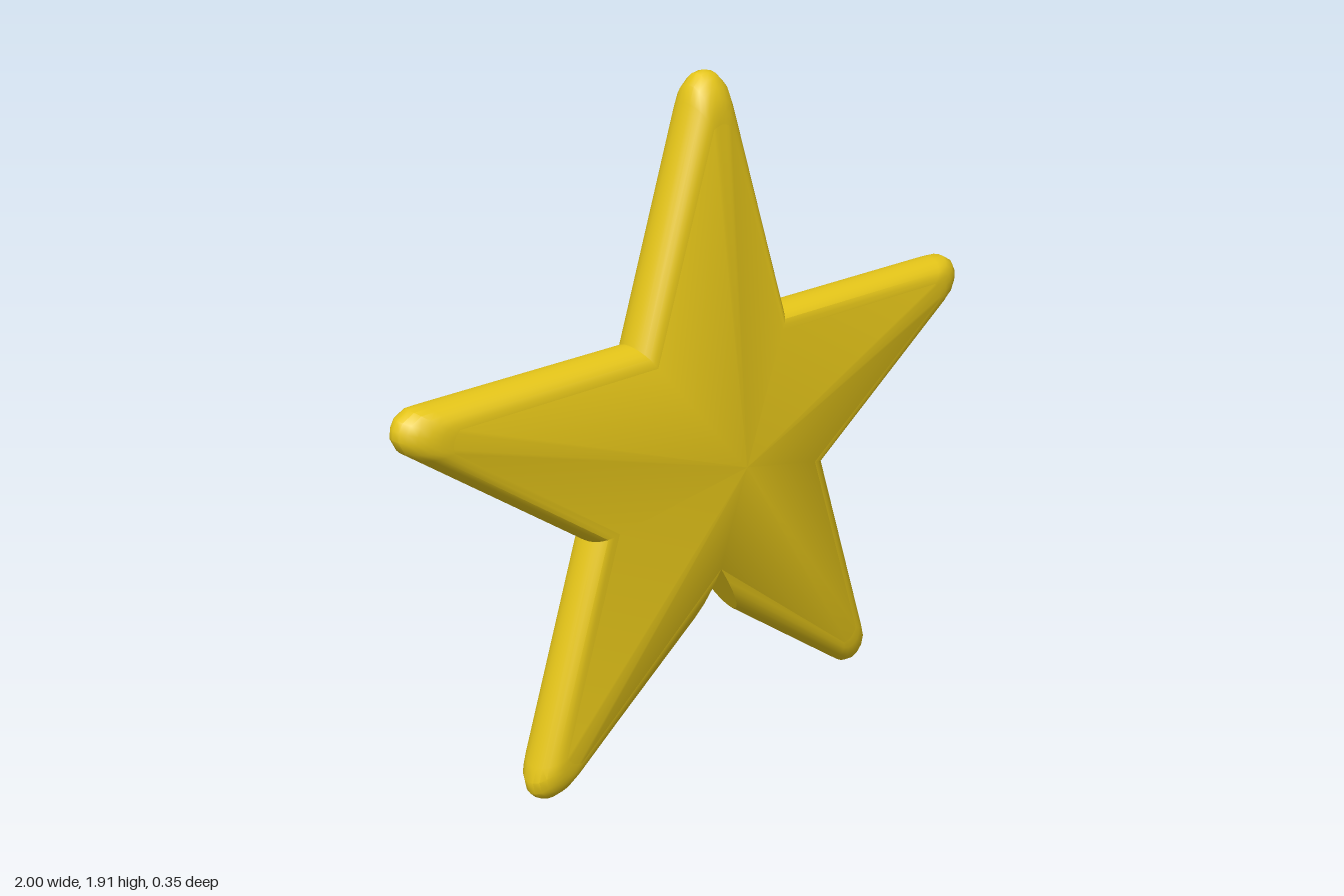
import * as THREE from 'three';
import { toCreasedNormals } from 'three/addons/utils/BufferGeometryUtils.js';

const CENTRE_Y = 0.855, RIM_Z = 0.073, APEX_Z = 0.175, ROWS = 12;

// Half of an arm tip: [sideways, radial] on the silhouette and on the inner crease
const TIP = [
  { outer: [0.067, 0.975], inner: [0.03, 0.91] },
  { outer: [0.053, 1.018], inner: [0.02, 0.915] },
  { outer: [0.025, 1.045], inner: [0.01, 0.918] },
  { outer: [0, 1.05], inner: [0, 0.92] },
];

// Counter-clockwise outline; each entry pairs a silhouette point with a crease point
function starOutline() {
  const points = [];
  const place = (angle, [side, radial]) => [
    radial * Math.cos(angle) + side * Math.sin(angle),
    radial * Math.sin(angle) - side * Math.cos(angle),
  ];
  const flip = ([side, radial]) => [-side, radial];
  for (let arm = 0; arm < 5; arm++) {
    const a = Math.PI / 2 + arm * Math.PI * 0.4;
    for (const p of TIP) points.push({ outer: place(a, p.outer), inner: place(a, p.inner) });
    for (const p of TIP.slice(0, -1).reverse())
      points.push({ outer: place(a, flip(p.outer)), inner: place(a, flip(p.inner)) });
    if (arm === 2) {
      // The bottom valley is cut open into a notch
      for (const s of [-1, 1]) points.push({ outer: [s * 0.11, -0.525], inner: [0, -0.34], notch: s });
    } else {
      const v = a + Math.PI / 5;
      points.push({ outer: place(v, [0, 0.451]), inner: place(v, [0, 0.384]) });
    }
  }
  return points;
}

function build(positions, indices, crease) {
  const g = new THREE.BufferGeometry();
  g.setAttribute('position', new THREE.Float32BufferAttribute(positions, 3));
  g.setIndex(indices);
  return toCreasedNormals(g, crease);
}

// Rounded band running round the star from the back crease to the front crease
function rimGeometry(outline) {
  const positions = [], indices = [], n = outline.length;
  for (let j = 0; j <= ROWS; j++) {
    const t = (j / ROWS - 0.5) * Math.PI;
    for (const { outer, inner } of outline) {
      const s = 1 - Math.cos(t);
      positions.push(
        THREE.MathUtils.lerp(outer[0], inner[0], s),
        THREE.MathUtils.lerp(outer[1], inner[1], s),
        RIM_Z * Math.sin(t));
    }
  }
  for (let i = 0; i < n; i++) {
    const k = (i + 1) % n;
    if (outline[i].notch && outline[k].notch) continue;
    for (let j = 0; j < ROWS; j++) {
      const a = j * n + i, b = j * n + k;
      indices.push(a, b, b + n, a, b + n, a + n);
    }
  }
  return build(positions, indices, 0.6);
}

// Flat end caps closing the band on both sides of the notch
function notchGeometry(outline) {
  const positions = [], indices = [];
  for (const { outer, inner, notch } of outline.filter((p) => p.notch)) {
    const base = positions.length / 3, half = ROWS / 2;
    for (let j = 0; j <= half; j++) {
      const t = (j / half) * Math.PI / 2, s = 1 - Math.cos(t);
      for (const side of [-1, 1])
        positions.push(
          THREE.MathUtils.lerp(outer[0], inner[0], s),
          THREE.MathUtils.lerp(outer[1], inner[1], s),
          side * RIM_Z * Math.sin(t));
      if (j === 0) continue;
      const a = base + 2 * (j - 1), b = a + 1, c = a + 2, d = a + 3;
      if (notch < 0) indices.push(a, c, d, a, d, b);
      else indices.push(a, d, c, a, b, d);
    }
  }
  return build(positions, indices, 0.3);
}

// Faceted face rising from the crease line to a central peak
function faceGeometry(outline, side) {
  const positions = [0, 0, side * APEX_Z], indices = [], n = outline.length;
  for (const { inner } of outline) positions.push(inner[0], inner[1], side * RIM_Z);
  for (let i = 0; i < n; i++) {
    const a = i + 1, b = ((i + 1) % n) + 1;
    if (outline[i].notch && outline[b - 1].notch) continue;
    if (side > 0) indices.push(0, a, b);
    else indices.push(0, b, a);
  }
  return build(positions, indices, 0.5);
}

export function createModel() {
  const group = new THREE.Group();
  group.name = 'star';
  const gold = new THREE.MeshStandardMaterial({ color: 0xe6c619, side: THREE.DoubleSide });
  const outline = starOutline();
  const parts = {
    roundedRim: rimGeometry(outline),
    notchWalls: notchGeometry(outline),
    frontFace: faceGeometry(outline, 1),
    backFace: faceGeometry(outline, -1),
  };
  for (const [name, geometry] of Object.entries(parts)) {
    const mesh = new THREE.Mesh(geometry, gold);
    mesh.name = name;
    mesh.position.y = CENTRE_Y;
    group.add(mesh);
  }
  return group;
}
